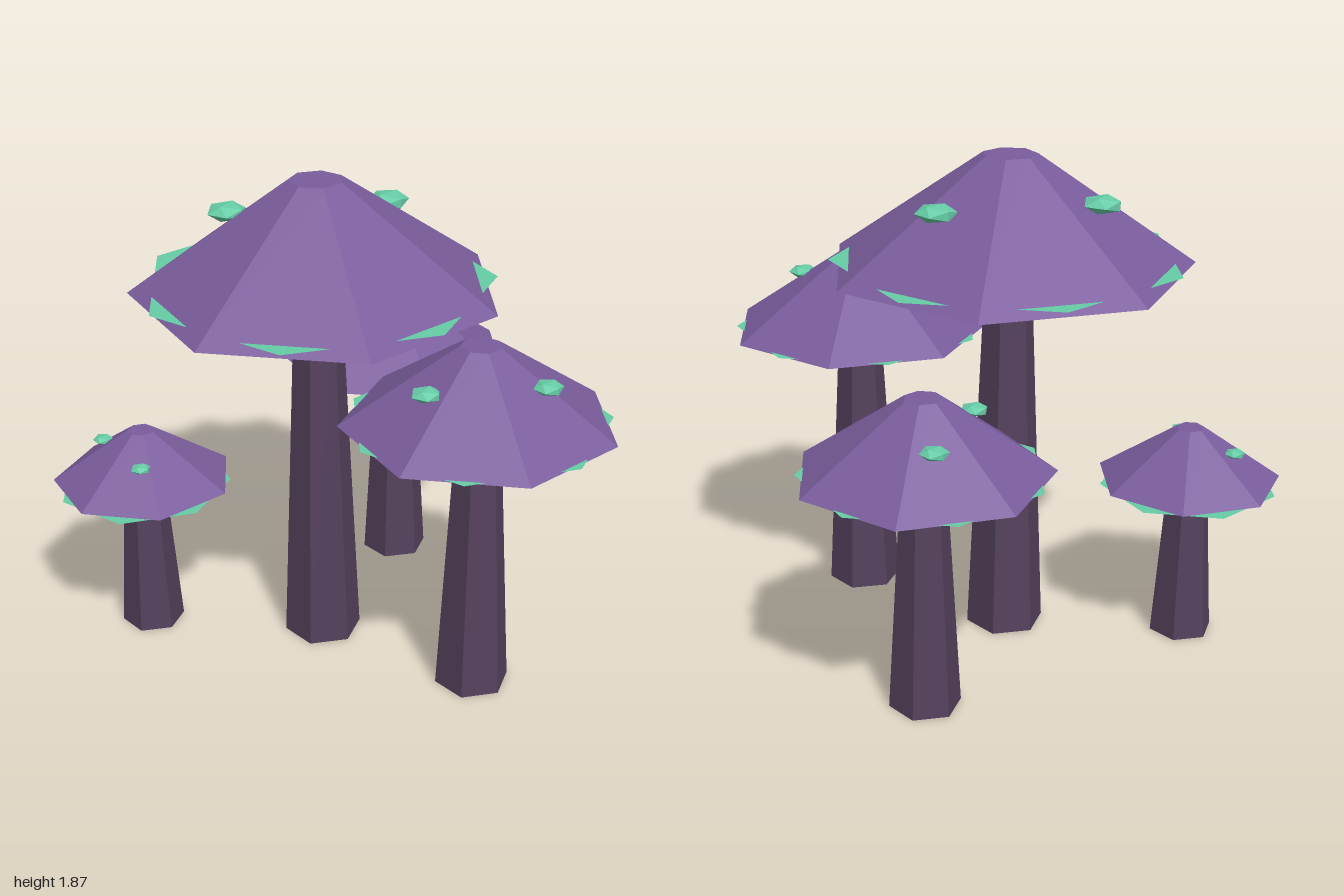
import * as THREE from 'three';

const mat = (name, color) => {
  const m = new THREE.MeshStandardMaterial({ color, flatShading: true });
  m.name = name;
  return m;
};

// x, z: centre; r: cap radius; capY: cap bottom and top; gillY: gill bottom;
// stem: bottom and top radius; spots: [dx, dz] from the centre at height spotY
const MUSHROOMS = [
  { name: 'tallMushroom', x: -0.148, z: -0.14, r: 0.69, capY: [1.457, 1.87], gillY: 1.36,
    stem: [0.15, 0.09], spotY: 1.714, spots: [[0.35, 0], [-0.172, -0.3]] },
  { name: 'frontMushroom', x: 0.035, z: 0.517, r: 0.505, capY: [1.095, 1.393], gillY: 1.007,
    stem: [0.142, 0.085], spotY: 1.283, spots: [[0.095, 0.233], [-0.255, -0.01]] },
  { name: 'leftMushroom', x: 0.5, z: -0.417, r: 0.463, capY: [0.908, 1.184], gillY: 0.826,
    stem: [0.132, 0.082], spotY: 1.081, spots: [[0.122, -0.2], [-0.233, 0]] },
  { name: 'smallMushroom', x: -0.615, z: -0.65, r: 0.35, capY: [0.638, 0.845], gillY: 0.555,
    stem: [0.122, 0.081], spotY: 0.768, spots: [[-0.072, -0.16], [-0.105, 0.138]] },
];

export function createModel() {
  const purple = mat('capPurple', 0x7a5c9c);
  const green = mat('glowGreen', 0x66cca6);
  const bark = mat('stemPlum', 0x54415c);
  const model = new THREE.Group();
  model.name = 'mushroomCluster';

  for (const m of MUSHROOMS) {
    const group = new THREE.Group();
    group.name = m.name;
    group.position.set(m.x, 0, m.z);
    model.add(group);

    const add = (name, geometry, material, x, y, z) => {
      const mesh = new THREE.Mesh(geometry, material);
      mesh.name = name;
      mesh.position.set(x, y, z);
      group.add(mesh);
      return mesh;
    };

    // Tapered six-sided stem, ending inside the gills
    const stemH = m.gillY + 0.04;
    add('stem', new THREE.CylinderGeometry(m.stem[1], m.stem[0], stemH, 6), bark, 0, stemH / 2, 0);

    // Inverted gill cone, turned half a side so its corners poke past the cap edges
    const gillH = m.r * 0.183;
    add('gills', new THREE.CylinderGeometry(m.r * 0.955, m.r * 0.335, gillH, 7), green,
      0, m.gillY + gillH / 2, 0);

    // Seven-sided cap with a corner pointing back
    const [y0, y1] = m.capY;
    add('cap', new THREE.CylinderGeometry(m.r * 0.148, m.r, y1 - y0, 7, 1, false, Math.PI), purple,
      0, (y0 + y1) / 2, 0);

    // Flattened faceted spots
    m.spots.forEach(([dx, dz], i) => {
      const spot = add('spot', new THREE.IcosahedronGeometry(m.r * 0.113, 0), green, dx, m.spotY, dz);
      spot.scale.y = 0.42;
      spot.rotation.y = i * 0.35;
    });
  }
  return model;
}
